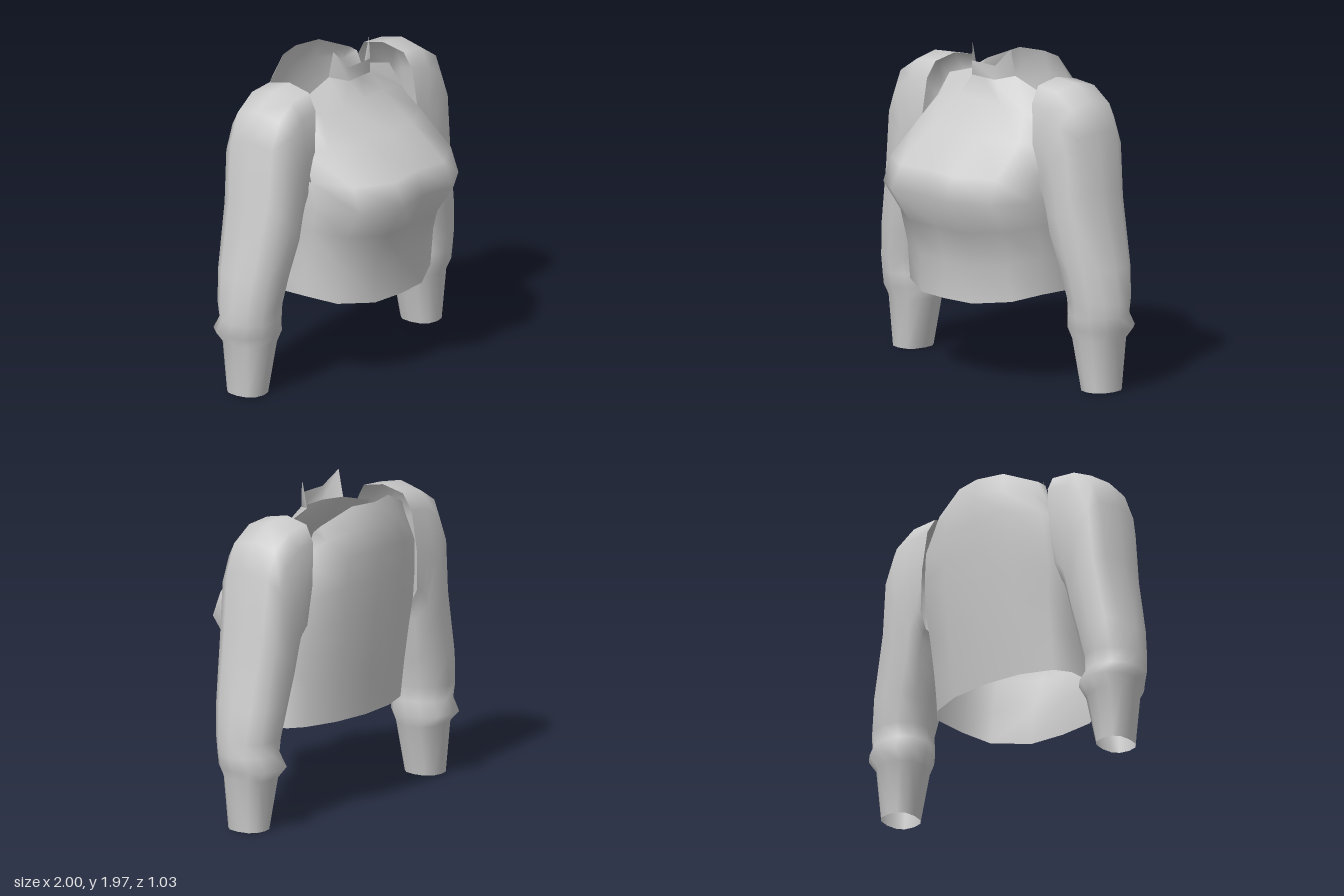
import * as THREE from 'three';

const mix = THREE.MathUtils.lerp;

// Skin a grid of rows of [x, y, z] points; skip(row, col) leaves a hole.
function skin(rows, closed, flip = false, skip = () => false) {
  const n = rows[0].length, index = [];
  for (let r = 0; r < rows.length - 1; r++) {
    for (let i = 0; i < (closed ? n : n - 1); i++) {
      if (skip(r, i)) continue;
      const j = (i + 1) % n;
      const a = r * n + i, b = r * n + j, c = a + n, d = b + n;
      index.push(...(flip ? [a, c, b, b, c, d] : [a, b, c, b, d, c]));
    }
  }
  const g = new THREE.BufferGeometry();
  g.setAttribute('position', new THREE.Float32BufferAttribute(rows.flat(2), 3));
  g.setIndex(index);
  g.computeVertexNormals();
  return g;
}

// Bodice levels: half width, front y, side y, back y,
// then z at the front centre, bust, flank, side and back
const BODICE = [
  [.52, .49, .55, .56, .31, .29, .18, 0, -.41],
  [.52, .72, .77, .8, .31, .3, .2, 0, -.44],
  [.53, .93, .97, 1, .37, .38, .25, .05, -.465],
  [.55, 1.14, 1.12, 1.2, .48, .52, .37, .1, -.485],
  [.54, 1.28, 1.28, 1.4, .42, .45, .32, .06, -.505],
  [.52, 1.48, 1.45, 1.58, .23, .21, .12, 0, -.515],
  [.43, 1.65, 1.6, 1.74, .04, .03, .01, -.02, -.515],
];

// Half of the neckline, from front centre to back centre
const NECKLINE = [
  [0, 1.78, 0], [.1, 1.78, 0], [.17, 1.8, -.1], [.41, 1.73, -.1],
  [.42, 1.75, -.35], [.38, 1.78, -.37], [.17, 1.87, -.44], [0, 1.87, -.48],
];

// Half cross-section of one bodice level, running front to back
function bodiceLevel([w, yF, yS, yB, zCentre, zBust, zFlank, zSide, zBack]) {
  return [
    [0, yF, zCentre], [w * .43, yF, zBust],
    [w * .86, mix(yF, yS, .5), zFlank], [w, yS, zSide],
    [w, yS, mix(zSide, zBack, .55)], [w * .86, mix(yS, yB, .7), zBack + .1],
    [w * .48, yB, zBack + .025], [0, yB, zBack],
  ];
}

// Sleeve rings: inner x, y, outer x, y, front z, back z, roundness
const SLEEVE = [
  [.53, 1.08, .45, 1.83, .05, -.4, .6],
  [.54, 1.05, .62, 1.82, .065, -.41, .65],
  [.545, 1.02, .76, 1.73, .07, -.41, .65],
  [.555, .98, .83, 1.56, .07, -.41, .65],
  [.575, .88, .867, 1.2, .065, -.4, .7],
  [.605, .73, .97, .75, .035, -.39, .85],
  [.64, .56, 1, .55, .015, -.375, .95],
  [.635, .47, 1, .46, .005, -.36, .95],
  [.62, .385, 1, .38, 0, -.41, .95],
  [.655, .31, .965, .32, -.035, -.345, .85],
  [.725, 0, .935, 0, -.07, -.31, .8],
];

function sleeveGeometry(side, sides = 12) {
  const bend = (v, e) => Math.sign(v) * Math.abs(v) ** e;
  const rows = SLEEVE.map(([xi, yi, xo, yo, zf, zb, e]) =>
    Array.from({ length: sides }, (_, i) => {
      const t = (i / sides) * Math.PI * 2;
      const u = (1 + bend(Math.cos(t), e)) / 2, w = (1 + bend(Math.sin(t), e)) / 2;
      return [side * mix(xi, xo, u), mix(yi, yo, u), mix(zb, zf, w)];
    }));
  return skin(rows, true, side < 0);
}

export function createModel() {
  const cloth = new THREE.MeshStandardMaterial({ color: 0xcccccc, side: THREE.DoubleSide });
  cloth.name = 'grey cloth';
  const model = new THREE.Group();
  model.name = 'blouse';
  const add = (name, geometry) => {
    const mesh = new THREE.Mesh(geometry, cloth);
    mesh.name = name;
    model.add(mesh);
  };

  // Bodice with open hem, neckline and armholes
  const rings = [...BODICE.map(bodiceLevel), NECKLINE].map(half => [
    ...half, ...half.slice(1, -1).reverse().map(([x, y, z]) => [-x, y, z]),
  ]);
  add('bodice', skin(rings, true, false, (r, i) => r >= 4 && (i === 3 || i === 10)));

  // Small standing collar with two points
  add('collar', skin([
    [[-.17, 1.8, -.1], [-.1, 1.78, 0], [.1, 1.78, 0], [.17, 1.8, -.1]],
    [[-.17, 1.965, -.065], [-.1, 1.865, 0], [.1, 1.865, 0], [.17, 1.965, -.065]],
  ], false));

  // Puffed sleeves with narrow cuffs
  add('leftSleeve', sleeveGeometry(1));
  add('rightSleeve', sleeveGeometry(-1));
  return model;
}
